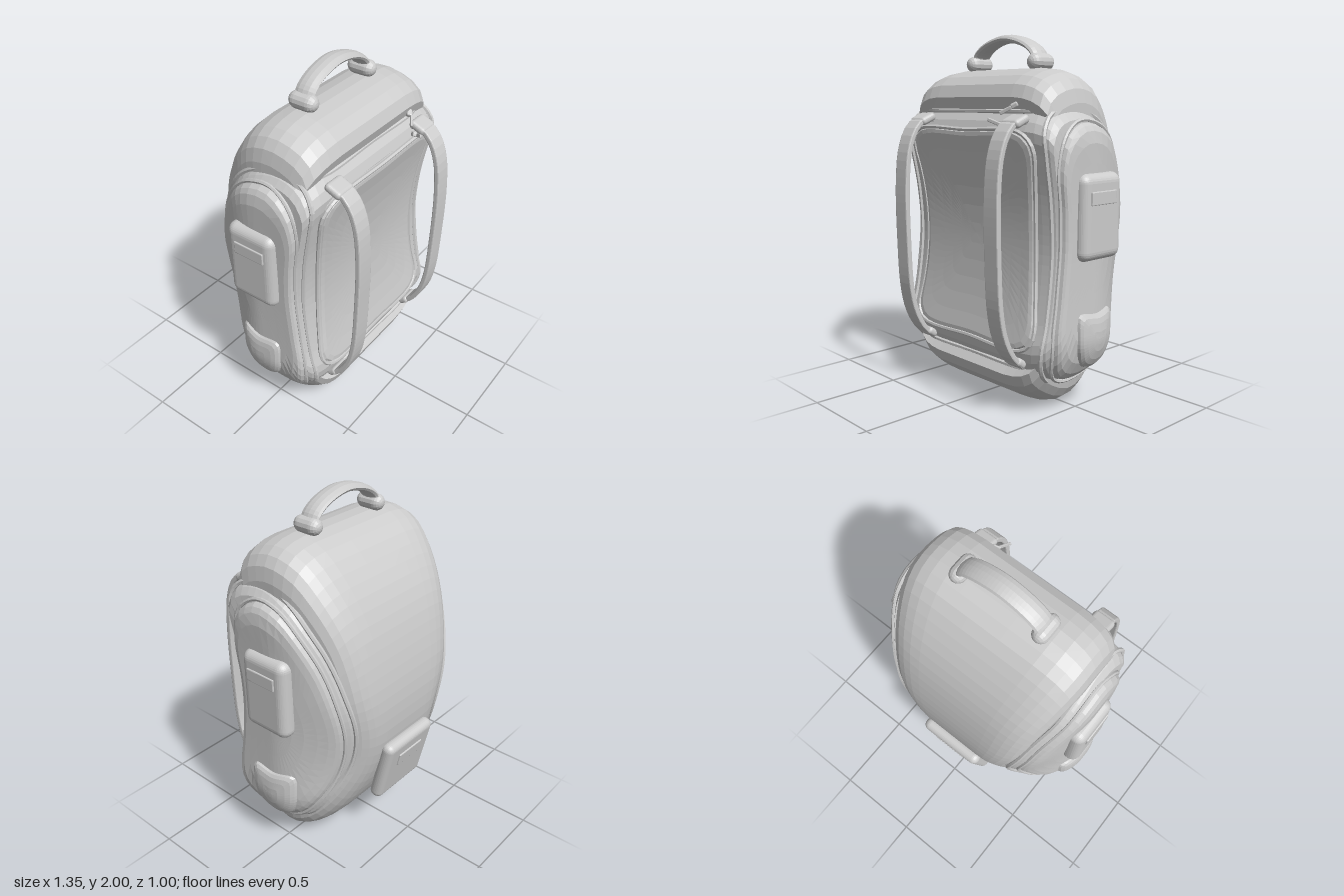
import * as THREE from 'three';
import { RoundedBoxGeometry } from 'three/addons/geometries/RoundedBoxGeometry.js';

const material = new THREE.MeshStandardMaterial({ color: 0xcccccc, flatShading: true });
const V = (x, y, z) => new THREE.Vector3(x, y, z);

// Smooth closed outline through a few points, always counter-clockwise
function outline(points, n) {
  const curve = new THREE.CatmullRomCurve3(points.map(([u, v]) => V(u, v, 0)), true, 'centripetal');
  const ring = curve.getSpacedPoints(n).slice(0, n);
  return THREE.ShapeUtils.area(ring) < 0 ? ring.reverse() : ring;
}

// Outline scaled about its middle; map() bends it into place
function ringAt(profile, [d, su, sv = su], map) {
  const c = new THREE.Box3().setFromPoints(profile).getCenter(V(0, 0, 0));
  return profile.map(p => map(c.x + (p.x - c.x) * su, c.y + (p.y - c.y) * sv, d));
}

// Closed solid through layers [depth, scaleU, scaleV]
function loft(profile, layers, map, flip) {
  const n = profile.length, pos = [], index = [];
  const tri = (a, b, c) => (flip ? index.push(a, c, b) : index.push(a, b, c));
  layers.forEach(l => ringAt(profile, l, map).forEach(p => pos.push(p.x, p.y, p.z)));
  for (let j = 0; j < layers.length - 1; j++) {
    for (let i = 0; i < n; i++) {
      const a = j * n + i, b = j * n + (i + 1) % n;
      tri(a, b, b + n);
      tri(a, b + n, a + n);
    }
  }
  [layers[0], layers.at(-1)].forEach((l, end) => {
    const mid = pos.length / 3, base = end ? (layers.length - 1) * n : 0;
    const c = ringAt(profile, [l[0], 0, 0], map)[0];
    pos.push(c.x, c.y, c.z);
    for (let i = 0; i < n; i++) {
      const a = base + i, b = base + (i + 1) % n;
      end ? tri(a, b, mid) : tri(b, a, mid);
    }
  });
  const g = new THREE.BufferGeometry();
  g.setAttribute('position', new THREE.Float32BufferAttribute(pos, 3));
  g.setIndex(index);
  g.computeVertexNormals();
  return g;
}

const piping = (profile, layer, map, r) => new THREE.TubeGeometry(
  new THREE.CatmullRomCurve3(ringAt(profile, layer, map), true), 110, r, 6, true);
const mirrored = half => [...half.map(([x, ...s]) => [-x, ...s]).reverse(), [0, 1], ...half];

// The bag narrows towards its back, more so low down; the sides also round in at top and bottom
const backTaper = (y, z) =>
  1 - (1.4 + 0.9 * THREE.MathUtils.smoothstep(1.1 - y, 0, 0.6)) * Math.min(0, z) ** 2;
const endTaper = y => 1 + 0.03 * ((y - 0.85) / 0.65) ** 2
  - 0.16 * (Math.max(0, 0.45 - y) / 0.27) ** 2 - 0.08 * (Math.max(0, y - 1.4) / 0.2) ** 2;
const bodyMap = (z, y, x) => V(x * backTaper(y, z) * endTaper(y), y, z);
const shellMap = (z, y, x) => V(x * backTaper(y, z) * (0.91 + 0.09 * Math.min(1, y / 1.2)), y, z);
// Concave front
const frontZ = y => 0.25 + 0.25 * (y - 0.9) ** 2;
const panelMap = (x, y, d) => V(x * (0.88 + 0.12 * Math.min(1, ((y - 0.92) / 0.5) ** 2)), y, frontZ(y) + d);

export function createModel() {
  const model = new THREE.Group();
  const add = (name, geometry, x = 0, y = 0, z = 0, parent = model) => {
    const mesh = new THREE.Mesh(geometry, material);
    mesh.name = name;
    mesh.position.set(x, y, z);
    parent.add(mesh);
    return mesh;
  };

  // Outer shell: lid, back and bottom pillow
  const shell = outline([[0.2, 1.585], [0.27, 1.598], [0.29, 1.625], [0.288, 1.675], [0.265, 1.725], [0.22, 1.765],
    [0.15, 1.795], [0.03, 1.812], [-0.12, 1.765], [-0.26, 1.61], [-0.37, 1.4], [-0.44, 1.12], [-0.46, 0.88],
    [-0.44, 0.65], [-0.37, 0.42], [-0.25, 0.2], [-0.1, 0.05], [0.05, 0], [0.2, 0.06], [0.3, 0.14], [0.325, 0.19],
    [0.32, 0.23], [0.29, 0.253], [0.2, 0.26], [0.15, 0.6], [0.13, 0.9], [0.16, 1.3]], 64);
  add('outerShell', loft(shell, mirrored([[0.1, 1], [0.2, 1], [0.3, 1], [0.38, 0.995, 0.99], [0.44, 0.98, 0.97],
    [0.49, 0.95, 0.935], [0.525, 0.9, 0.88], [0.54, 0.83, 0.8]]), shellMap, true));

  // Main body with domed sides
  const body = outline([[0.315, 1.49], [0.25, 1.59], [0.08, 1.63], [-0.12, 1.56], [-0.27, 1.38], [-0.375, 1.13],
    [-0.42, 0.9], [-0.39, 0.65], [-0.3, 0.42], [-0.17, 0.23], [0.01, 0.13], [0.18, 0.15], [0.29, 0.25],
    [0.32, 0.36], [0.287, 0.5], [0.252, 0.72], [0.24, 0.9], [0.258, 1.15], [0.303, 1.4]], 72);
  add('mainBody', loft(body, mirrored([[0.2, 1], [0.35, 1], [0.42, 0.998], [0.48, 0.988], [0.53, 0.968],
    [0.56, 0.935], [0.577, 0.89], [0.58, 0.6], [0.58, 0.3]]), bodyMap, true));

  // Front panel with piped edge
  const panel = outline([[0.5, 0.6], [0.485, 0.45], [0.42, 0.375], [0, 0.365], [-0.42, 0.375], [-0.485, 0.45],
    [-0.5, 0.6], [-0.5, 1.25], [-0.485, 1.4], [-0.42, 1.475], [0, 1.485], [0.42, 1.475], [0.485, 1.4],
    [0.5, 1.25]], 72);
  add('frontPanel', loft(panel, [[-0.06, 1], [0, 1], [0.014, 0.975, 0.985], [0.02, 0.93, 0.95],
    ...[0.8, 0.62, 0.45, 0.27, 0.1].map(s => [0.02, s])], panelMap, false));
  add('frontPanelPiping', piping(panel, [0.004, 1.01], panelMap, 0.012));

  // Seam below the lid and above the bottom pillow
  [[1.588, 0.49, 0.262], [0.258, 0.46, 0.295]].forEach(([y, w, z]) => {
    const path = new THREE.CatmullRomCurve3([V(-w, y, z - 0.13), V(-w + 0.03, y, z - 0.03), V(-w + 0.1, y, z),
      V(0, y, z), V(w - 0.1, y, z), V(w - 0.03, y, z - 0.03), V(w, y, z - 0.13)]);
    add('frontSeam', new THREE.TubeGeometry(path, 40, 0.012, 6));
  });

  const pad = outline([[0.23, 1.3], [0.19, 1.45], [0.07, 1.53], [-0.1, 1.495], [-0.25, 1.31], [-0.335, 1.1],
    [-0.37, 0.88], [-0.345, 0.65], [-0.26, 0.42], [-0.12, 0.25], [0.07, 0.18], [0.21, 0.24], [0.26, 0.4],
    [0.23, 0.65], [0.205, 0.9], [0.21, 1.1]], 56);
  const scoop = outline([[0.12, 0.545], [0.125, 0.45], [0.113, 0.36], [0.065, 0.27], [-0.02, 0.24], [-0.105, 0.27],
    [-0.153, 0.36], [-0.165, 0.45], [-0.16, 0.545], [-0.145, 0.558], [-0.02, 0.545], [0.105, 0.558]], 44);

  for (const s of [-1, 1]) {
    const side = new THREE.Group();
    side.name = s > 0 ? 'leftSide' : 'rightSide';
    model.add(side);
    const sideMap = (z, y, d) => bodyMap(z, y, d * s);
    const put = (name, g, x = 0, y = 0, z = 0) => add(name, g, x * s, y, z, side);

    // Padded side with welts
    put('sidePad', loft(pad, [[0.5, 1], [0.585, 1], [0.602, 0.98], [0.612, 0.94],
      ...[0.85, 0.7, 0.5, 0.3, 0.12].map(k => [0.617, k])], sideMap, s > 0));
    put('padWelt', piping(pad, [0.577, 1.02], sideMap, 0.011));
    put('bodyWelt', piping(body, [0.54, 0.97], sideMap, 0.013));

    // Upper box pocket and flap tab
    put('sidePocket', new RoundedBoxGeometry(0.11, 0.45, 0.3, 4, 0.05), 0.61, 1.055, -0.02);
    put('sidePocketTab', new RoundedBoxGeometry(0.02, 0.07, 0.19, 1, 0.005), 0.663, 1.155, -0.015);

    // Lower scoop pocket
    put('scoopPocket', loft(scoop, [[0.56, 1], [0.61, 1], [0.63, 0.95], [0.641, 0.84], [0.647, 0.65],
      [0.65, 0.35], [0.65, 0.1]], sideMap, s > 0));

    // Shoulder strap: a bevelled ribbon bowed out from the front
    const path = new THREE.CatmullRomCurve3([[0.3, 1.54], [0.36, 1.535], [0.42, 1.48], [0.465, 1.37], [0.486, 1.18],
      [0.484, 0.85], [0.468, 0.58], [0.435, 0.44], [0.38, 0.34], [0.32, 0.285]].map(([z, y]) => V(z, y, 0)));
    const line = path.getSpacedPoints(30);
    const edge = k => line.map((p, i) => {
      const t = path.getTangentAt(i / 30);
      return new THREE.Vector2(p.x - t.y * k, p.y + t.x * k);
    });
    const ribbon = new THREE.ExtrudeGeometry(new THREE.Shape([...edge(0.008), ...edge(-0.008).reverse()]),
      { depth: 0.09, bevelThickness: 0.007, bevelSize: 0.007, bevelSegments: 2 });
    ribbon.rotateY(-Math.PI / 2).translate(0.045, 0, 0);
    put('shoulderStrap', ribbon, 0.378);
    put('strapTopAnchor', new RoundedBoxGeometry(0.125, 0.045, 0.1, 3, 0.02), 0.38, 1.54, 0.335).rotation.x = 0.4;
    put('strapBottomAnchor', new RoundedBoxGeometry(0.12, 0.045, 0.07, 3, 0.02), 0.375, 0.3, 0.33).rotation.x = -0.6;

    // Handle foot
    const foot = new THREE.CapsuleGeometry(0.046, 0.075, 5, 14).rotateX(Math.PI / 2);
    put('handleFoot', foot, 0.247, 1.845, 0.025);
  }

  // Carrying handle: flat arched band
  const arch = new THREE.CatmullRomCurve3([V(-0.25, 1.84, 0), V(-0.225, 1.895, 0), V(-0.15, 1.945, 0), V(0, 1.977, 0),
    V(0.15, 1.945, 0), V(0.225, 1.895, 0), V(0.25, 1.84, 0)]);
  add('handle', new THREE.TubeGeometry(arch, 32, 0.023, 12), 0, 0, 0.022).scale.z = 2.6;

  // Back pocket, tilted to follow the shell
  const backPocket = new THREE.Group();
  backPocket.name = 'backPocket';
  backPocket.position.set(0, 0.49, -0.425);
  backPocket.rotation.x = -0.22;
  model.add(backPocket);
  add('backPocketBody', new RoundedBoxGeometry(0.4, 0.4, 0.08, 4, 0.038), 0, 0, 0, backPocket);
  add('backPocketTab', new RoundedBoxGeometry(0.2, 0.08, 0.02, 1, 0.005), 0, 0.07, -0.038, backPocket);

  // Zip pulls at the lid seam and the panel
  [[0.3, 1.605, 0.3, 0.3], [0.28, 1.53, 0.36, -0.6]].forEach(([x, y, z, tilt]) => {
    const pull = new THREE.Group();
    pull.name = 'zipPull';
    pull.position.set(x, y, z);
    pull.rotation.set(0.3, 0.7, tilt);
    model.add(pull);
    add('zipSlider', new RoundedBoxGeometry(0.04, 0.025, 0.03, 1, 0.006), 0.03, 0, 0, pull);
    add('zipTab', new RoundedBoxGeometry(0.07, 0.02, 0.01, 1, 0.004), -0.02, 0, 0.01, pull);
  });
  return model;
}
